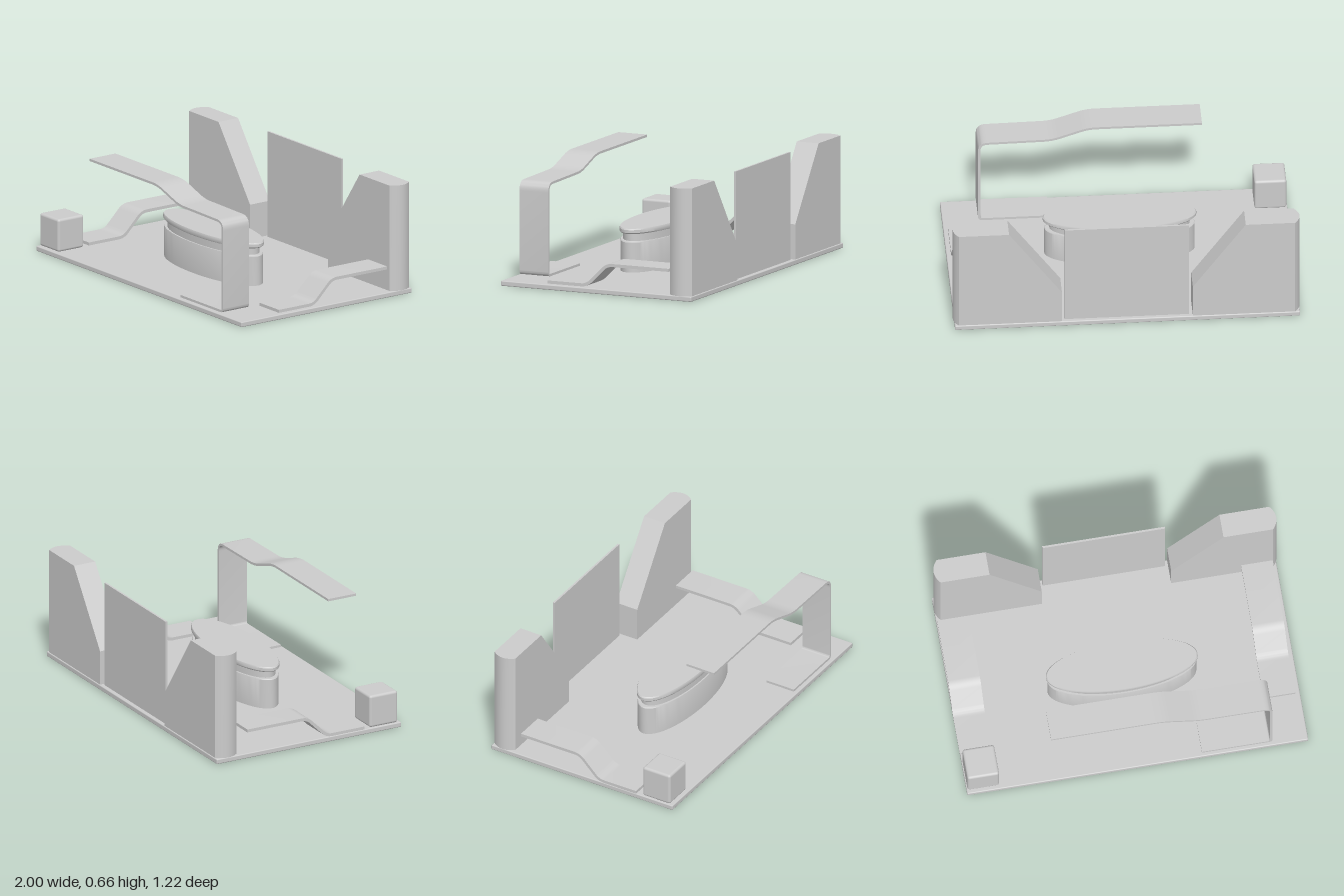
import * as THREE from 'three';
import { toCreasedNormals } from 'three/addons/utils/BufferGeometryUtils.js';
import { RoundedBoxGeometry } from 'three/addons/geometries/RoundedBoxGeometry.js';

const material = new THREE.MeshStandardMaterial({ color: 0xcccccc });

function add(group, name, geometry, x = 0, y = 0, z = 0) {
  const mesh = new THREE.Mesh(geometry, material);
  mesh.name = name;
  mesh.position.set(x, y, z);
  group.add(mesh);
  return mesh;
}

// Bent sheet strip: centreline points [u, v, bendRadius], extruded by width
function stripGeometry(points, thickness, width) {
  const line = [];
  points.forEach(([u, v, r], i) => {
    const p = new THREE.Vector2(u, v);
    if (!r) return line.push(p);
    const toward = (q) => new THREE.Vector2(q[0], q[1]).sub(p).setLength(r).add(p);
    const bend = new THREE.QuadraticBezierCurve(toward(points[i - 1]), p, toward(points[i + 1]));
    line.push(...bend.getPoints(8));
  });
  const side = (sign) => line.map((p, i) => {
    const a = line[Math.max(i - 1, 0)], b = line[Math.min(i + 1, line.length - 1)];
    const d = b.clone().sub(a).normalize();
    return new THREE.Vector2(p.x - d.y * sign * thickness / 2, p.y + d.x * sign * thickness / 2);
  });
  const shape = new THREE.Shape([...side(1), ...side(-1).reverse()]);
  const geometry = new THREE.ExtrudeGeometry(shape, { depth: width, bevelEnabled: false });
  return toCreasedNormals(geometry, 0.5);
}

// Sloped wall whose outer end bulges in plan
function wallGeometry(sign, topX, innerX) {
  const depth = 0.14, bulge = 0.03;
  const outline = [[1, 0.03], [1, 0.66], [topX, 0.66], [innerX, 0.235], [innerX, 0.03]];
  const shape = new THREE.Shape(outline.map(([x, y]) => new THREE.Vector2(x * sign, y)));
  const geometry = new THREE.ExtrudeGeometry(shape, { depth, steps: 16, bevelEnabled: false });
  const pos = geometry.attributes.position;
  for (let i = 0; i < pos.count; i++) {
    if (Math.abs(pos.getX(i)) < 0.99) continue;
    const t = pos.getZ(i) / depth * 2 - 1;
    pos.setX(i, sign * (1 - bulge * t * t));
  }
  return toCreasedNormals(geometry, 0.5);
}

export function createModel() {
  const model = new THREE.Group();
  model.name = 'model';

  // Base plate and corner block
  add(model, 'basePlate', new RoundedBoxGeometry(1.99, 0.03, 1.22, 2, 0.006), -0.003, 0.015, 0);
  add(model, 'cornerBlock', new RoundedBoxGeometry(0.185, 0.195, 0.185, 3, 0.015), -0.9, 0.1275, 0.4975);

  // Back walls and the thin panel between them
  add(model, 'rightBackWall', wallGeometry(-1, 0.685, 0.38), 0, 0, -0.605);
  add(model, 'leftBackWall', wallGeometry(1, 0.68, 0.375), 0, 0, -0.605);
  add(model, 'backPanel', new THREE.BoxGeometry(0.715, 0.63, 0.012), 0, 0.345, -0.58);

  // Oval drum with a groove under its rim
  const profile = [[0, 0.03], [0.98, 0.03], [0.98, 0.205], [0.97, 0.21], [0.915, 0.21], [0.915, 0.255],
    [0.98, 0.255], [1, 0.262], [1, 0.279], [0.985, 0.286], [0, 0.286]];
  const lathe = new THREE.LatheGeometry(profile.map(([r, y]) => new THREE.Vector2(r, y)), 72);
  lathe.scale(0.443, 1, 0.15);
  add(model, 'ovalDrum', toCreasedNormals(lathe, 0.5), -0.005, 0, 0.073);

  // Front arm: foot, upright and stepped top
  const arm = [[0.375, 0.042], [0.78, 0.042, 0.02], [0.78, 0.576, 0.05], [0.36, 0.582, 0.05],
    [0.15, 0.654, 0.05], [-0.505, 0.654]];
  add(model, 'frontArm', stripGeometry(arm, 0.014, 0.185), 0, 0, 0.405);

  // Stepped side strips, rising toward the back (profile runs along z)
  const step = [[0.345, 0.041], [0.095, 0.041, 0.035], [-0.035, 0.169, 0.035], [-0.43, 0.169]];
  [['leftSideStrip', 0.78, -0.022], ['rightSideStrip', -1, 0.021]].forEach(([name, x, z]) => {
    const strip = add(model, name, stripGeometry(step.map(([u, v, r]) => [-u, v, r]), 0.018, 0.185), x, 0, z);
    strip.rotation.y = Math.PI / 2;
  });

  return model;
}
